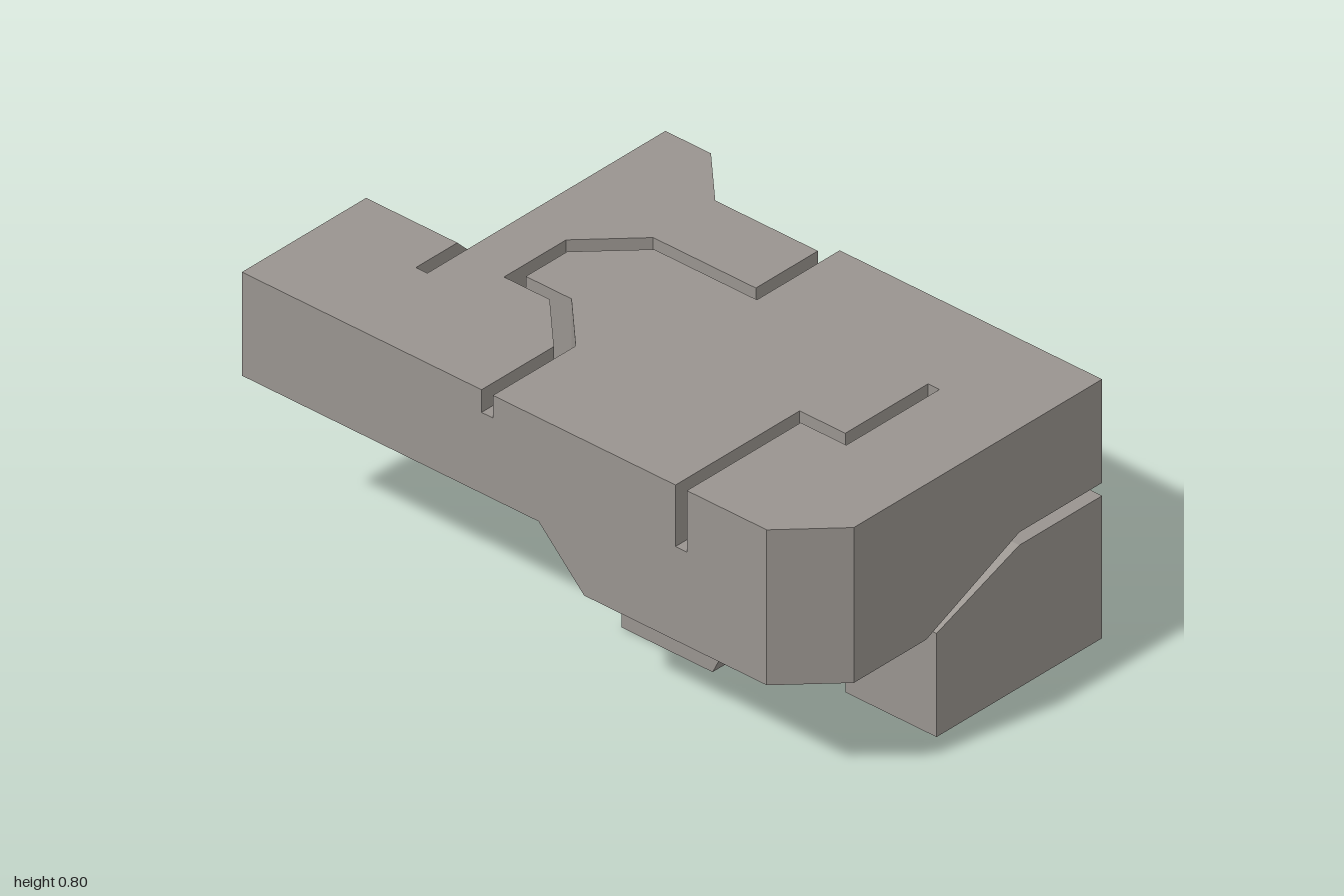
import * as THREE from 'three';

export function createModel() {
  const model = new THREE.Group();
  model.name = 'interlockingBlock';
  const material = (name, color) => {
    const m = new THREE.MeshStandardMaterial({ color });
    m.name = name;
    return m;
  };
  const materials = [material('warm grey', 0x99948f), material('earth brown', 0x967c6a)];

  const extrude = (pts, depth) => new THREE.ExtrudeGeometry(
    new THREE.Shape(pts.map(([a, b]) => new THREE.Vector2(a, b))),
    { depth, bevelEnabled: false });
  // Faces that look mostly downward are brown, all others grey
  const add = (name, geometry) => {
    const normal = geometry.getAttribute('normal');
    geometry.clearGroups();
    for (let i = 0; i < normal.count; i += 3) {
      geometry.addGroup(i, 3, normal.getY(i) < -0.6 ? 1 : 0);
    }
    const mesh = new THREE.Mesh(geometry, materials);
    mesh.name = name;
    model.add(mesh);
  };
  // Outline in x,z raised from y0 to y1
  const plan = (name, pts, y0, y1) =>
    add(name, extrude(pts.map(([x, z]) => [x, -z]), y1 - y0).rotateX(-Math.PI / 2).translate(0, y0, 0));
  // Outline in z,y swept from x0 to x1
  const side = (name, pts, x0, x1) =>
    add(name, extrude(pts.map(([z, y]) => [-z, y]), x1 - x0).rotateY(Math.PI / 2).translate(x0, 0, 0));
  // Outline in x,y swept from z0 to z1
  const front = (name, pts, z0, z1) =>
    add(name, extrude(pts, z1 - z0).translate(0, 0, z0));

  // Upper hooked plate
  plan('hookedPlate', [
    [-1, 0.62], [-0.16, 0.62], [-0.16, 0.34], [-0.32, 0.18], [-0.48, 0.18], [-0.48, -0.06],
    [-0.32, -0.22], [0.04, -0.22], [0.04, -0.46], [-0.32, -0.46], [-0.48, -0.62], [-0.64, -0.62],
    [-0.64, 0.3], [-1, 0.3]], 0.48, 0.8);

  // Upper main plate with its angled slot
  plan('mainPlate', [
    [-0.12, 0.62], [-0.12, 0.3], [-0.28, 0.14], [-0.44, 0.14], [-0.44, -0.02], [-0.28, -0.18],
    [0.08, -0.18], [0.08, -0.5], [1, -0.5], [1, 0.46], [0.84, 0.62], [0.56, 0.62], [0.56, 0.18],
    [0.72, 0.18], [0.72, -0.18], [0.68, -0.18], [0.68, 0.14], [0.52, 0.14], [0.52, 0.62]], 0.48, 0.8);

  // Thick front of the main plate, with ramps running up behind it
  front('thickFrontInner', [[0.04, 0.48], [0.2, 0.32], [0.52, 0.32], [0.52, 0.48]], 0.18, 0.62);
  plan('thickFrontOuter', [[0.56, 0.18], [1, 0.18], [1, 0.46], [0.84, 0.62], [0.56, 0.62]], 0.32, 0.48);
  side('outerRamp', [[0.18, 0.48], [0.18, 0.32], [-0.18, 0.48]], 0.72, 1);
  side('innerRamp', [[0.14, 0.48], [0.14, 0.338], [-0.18, 0.48]], 0.52, 0.68);

  // Bridges across the slots
  side('frontBridge', [[0.62, 0.48], [0.62, 0.73], [0.5, 0.73], [0.44, 0.6], [0.44, 0.48]], -0.16, -0.12);
  side('slotBridge', [[0.62, 0.32], [0.62, 0.61], [0.41, 0.61], [0.37, 0.53], [0.37, 0.32]], 0.52, 0.56);
  side('backBridge', [[-0.43, 0.48], [-0.38, 0.58], [-0.32, 0.58], [-0.27, 0.48]], 0.04, 0.08);

  // Sloping arm joining the upper and lower layers
  side('slopingArm', [[0.3, 0.8], [0.14, 0.8], [-0.22, 0.44], [-0.34, 0.44],
    [-0.34, 0.16], [-0.02, 0.16], [0.3, 0.48]], -1, -0.68);
  front('lowerArm', [[-0.68, 0.16], [-0.44, 0.16], [-0.28, 0], [-0.28, 0.44], [-0.68, 0.44]], -0.34, -0.02);

  // Lower plate, with undercut notches on its edges
  side('leftNotch', [[-0.5, 0.44], [-0.5, 0.32], [-0.34, 0], [-0.02, 0], [-0.02, 0.44]], -0.28, -0.12);
  plan('lowerCore', [[0.04, 0.14], [-0.12, -0.02], [-0.12, -0.5], [0.52, -0.5], [0.52, 0.14]], 0, 0.44);
  side('rightNotch', [[-0.5, 0.44], [-0.5, 0.32], [-0.34, 0], [-0.02, 0], [0.14, 0.32], [-0.18, 0.44]], 0.52, 0.68);
  side('lowerEnd', [[-0.5, 0.44], [-0.5, 0], [0.14, 0], [0.14, 0.32], [-0.18, 0.44]], 0.68, 1);

  // Central pillar tying the layers together
  front('pillarFront', [[0.04, 0], [0.36, 0], [0.52, 0.32], [0.52, 0.48], [0.04, 0.48]], 0.14, 0.3);
  plan('pillarNeck', [[0.08, 0.14], [0.04, 0.14], [-0.12, -0.02], [-0.12, -0.18], [0.08, -0.18]], 0.44, 0.48);
  side('pillarCap', [[0.14, 0.44], [0.14, 0.48], [-0.18, 0.48], [-0.22, 0.44]], 0.08, 0.52);

  return model;
}
